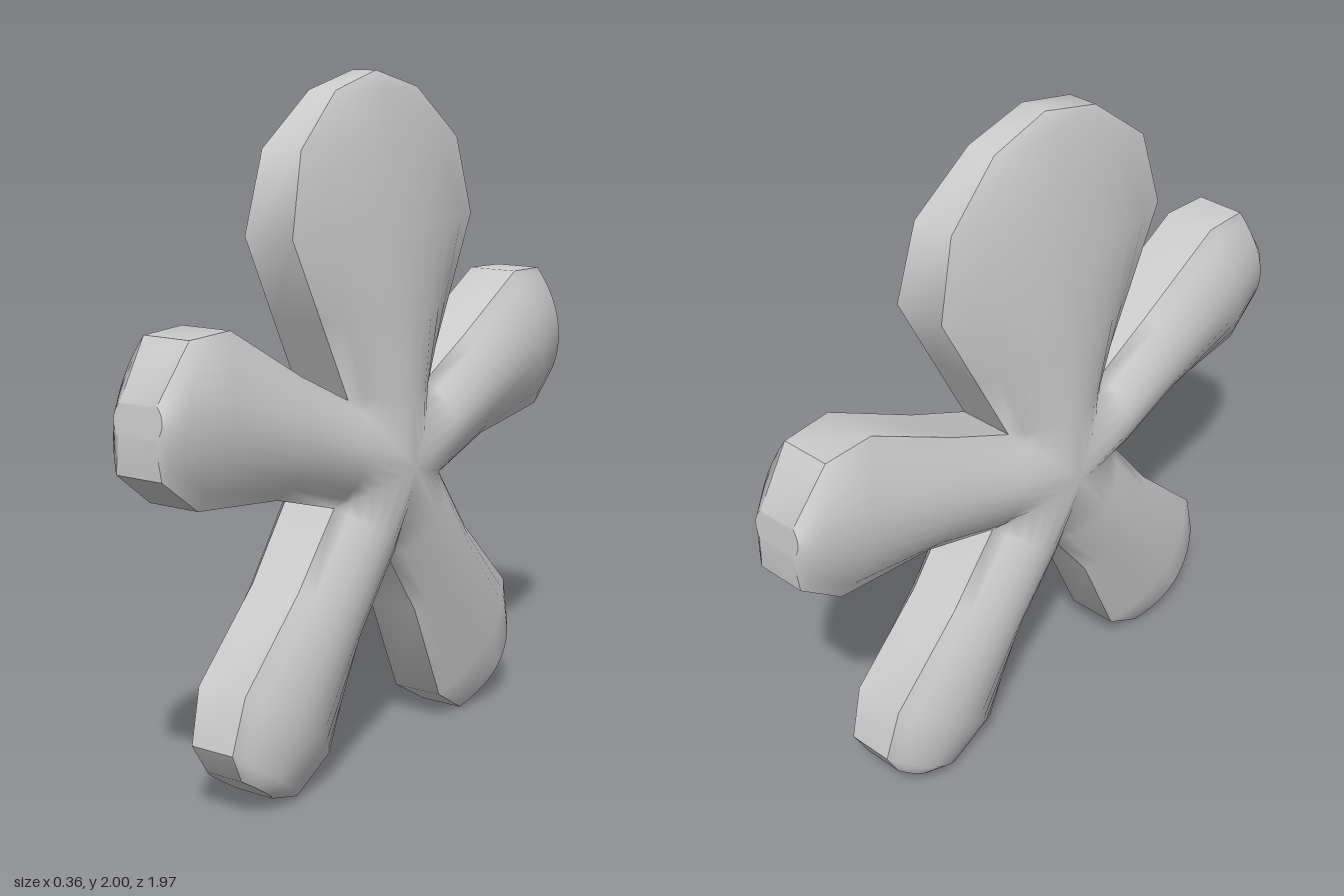
import * as THREE from 'three';
import { mergeVertices, mergeGeometries, toCreasedNormals } from 'three/addons/utils/BufferGeometryUtils.js';

const ACROSS = 10;               // columns across each limb
const CENTRE = [0, 0.88, 0.18];  // z, y, half thickness

// Stations from the centre outwards: [z, y] of both edges, rim half width, middle half thickness.
const head = [
  [0.2, 1.1, -0.2, 1.1, 0.085, 0.172],
  [0.32, 1.33, -0.32, 1.33, 0.083, 0.16],
  [0.445, 1.57, -0.445, 1.57, 0.08, 0.143],
  [0.385, 1.8, -0.385, 1.8, 0.065, 0.108],
  [0.2, 1.95, -0.2, 1.95, 0.045, 0.07],
  [0, 2, 0, 2, 0.04, 0.04],
];
const arm = [
  [0.27, 0.805, 0.2, 1.1, 0.085, 0.175],
  [0.52, 0.88, 0.41, 1.2, 0.08, 0.165],
  [0.85, 0.92, 0.71, 1.365, 0.08, 0.145],
  [0.98, 1.02, 0.865, 1.36, 0.075, 0.12],
  [0.985, 1.12, 0.975, 1.21, 0.06, 0.08],
];
const leg = [
  [0, 0.6, 0.27, 0.805, 0.085, 0.175],
  [0.15, 0.4, 0.43, 0.6, 0.08, 0.165],
  [0.29, 0.09, 0.67, 0.37, 0.08, 0.145],
  [0.43, 0.005, 0.715, 0.215, 0.07, 0.12],
  [0.53, 0.03, 0.665, 0.125, 0.06, 0.085],
];
const mirror = (limb) => limb.map(([az, ay, bz, by, r, m]) => [-bz, by, -az, ay, r, m]);
const limbs = [head, arm, leg, mirror(leg), mirror(arm)];

// Rows of points (x = half thickness) covering one limb
function limbRows(limb) {
  const rows = limb.map(([az, ay, bz, by, rim, mid]) =>
    Array.from({ length: ACROSS + 1 }, (_, j) => {
      const t = j / ACROSS, u = Math.abs(2 * t - 1);
      return new THREE.Vector3(
        rim + (mid - rim) * (1 - u * u),
        THREE.MathUtils.lerp(ay, by, t),
        THREE.MathUtils.lerp(az, bz, t));
    }));
  // The first row runs notch - centre - notch and is shared with the neighbouring limbs.
  const [az, ay, bz, by, rim] = limb[0];
  const first = Array.from({ length: ACROSS + 1 }, (_, j) => {
    const s = 2 * j / ACROSS - 1, u = Math.abs(s);
    const [z, y] = s < 0 ? [az, ay] : [bz, by];
    return new THREE.Vector3(
      rim + (CENTRE[2] - rim) * (1 - u ** 1.5),
      THREE.MathUtils.lerp(CENTRE[1], y, u),
      THREE.MathUtils.lerp(CENTRE[0], z, u));
  });
  return [first, ...rows];
}

function geometryFrom(triangles) {
  const g = new THREE.BufferGeometry().setFromPoints(triangles.flat());
  return g;
}

// Drops triangles whose corners coincide
function addTriangle(list, a, b, c) {
  const area = b.clone().sub(a).cross(c.clone().sub(a)).length();
  if (area > 1e-7) list.push([a, b, c]);
}

const flip = (p) => new THREE.Vector3(-p.x, p.y, p.z);

// Domed face of one limb on the side given by sign
function faceGeometry(rows, sign) {
  const tris = [];
  const put = (a, b, c) => sign > 0
    ? addTriangle(tris, a, b, c)
    : addTriangle(tris, flip(a), flip(c), flip(b));
  for (let i = 0; i < rows.length - 1; i++) {
    for (let j = 0; j < ACROSS; j++) {
      const a = rows[i][j], b = rows[i][j + 1], c = rows[i + 1][j], d = rows[i + 1][j + 1];
      if (j < ACROSS / 2) { put(a, b, d); put(a, d, c); }
      else { put(a, b, c); put(b, d, c); }
    }
  }
  return geometryFrom(tris);
}

// Edge band around one limb, from notch to notch
function rimGeometry(rows) {
  const outer = rows.slice(1);
  const path = [
    ...outer.map((r) => r[0]),
    ...outer[outer.length - 1].slice(1, -1),
    ...outer.map((r) => r[ACROSS]).reverse(),
  ];
  const tris = [];
  for (let i = 0; i < path.length - 1; i++) {
    const p = path[i], q = path[i + 1];
    addTriangle(tris, p, q, flip(p));
    addTriangle(tris, q, flip(q), flip(p));
  }
  return geometryFrom(tris);
}

export function createModel() {
  const group = new THREE.Group();
  group.name = 'splayedFigure';
  const material = new THREE.MeshStandardMaterial({ color: 0xcccccc });
  const add = (name, geometry) => {
    const mesh = new THREE.Mesh(geometry, material);
    mesh.name = name;
    group.add(mesh);
  };
  const allRows = limbs.map(limbRows);

  // Smooth domed faces, welded across all five limbs
  for (const [name, sign] of [['leftFace', 1], ['rightFace', -1]]) {
    const face = mergeVertices(mergeGeometries(allRows.map((r) => faceGeometry(r, sign))), 1e-4);
    face.computeVertexNormals();
    add(name, face);
  }

  // Edge band with sharp notches
  add('rim', toCreasedNormals(mergeGeometries(allRows.map(rimGeometry)), Math.PI / 4));
  return group;
}
